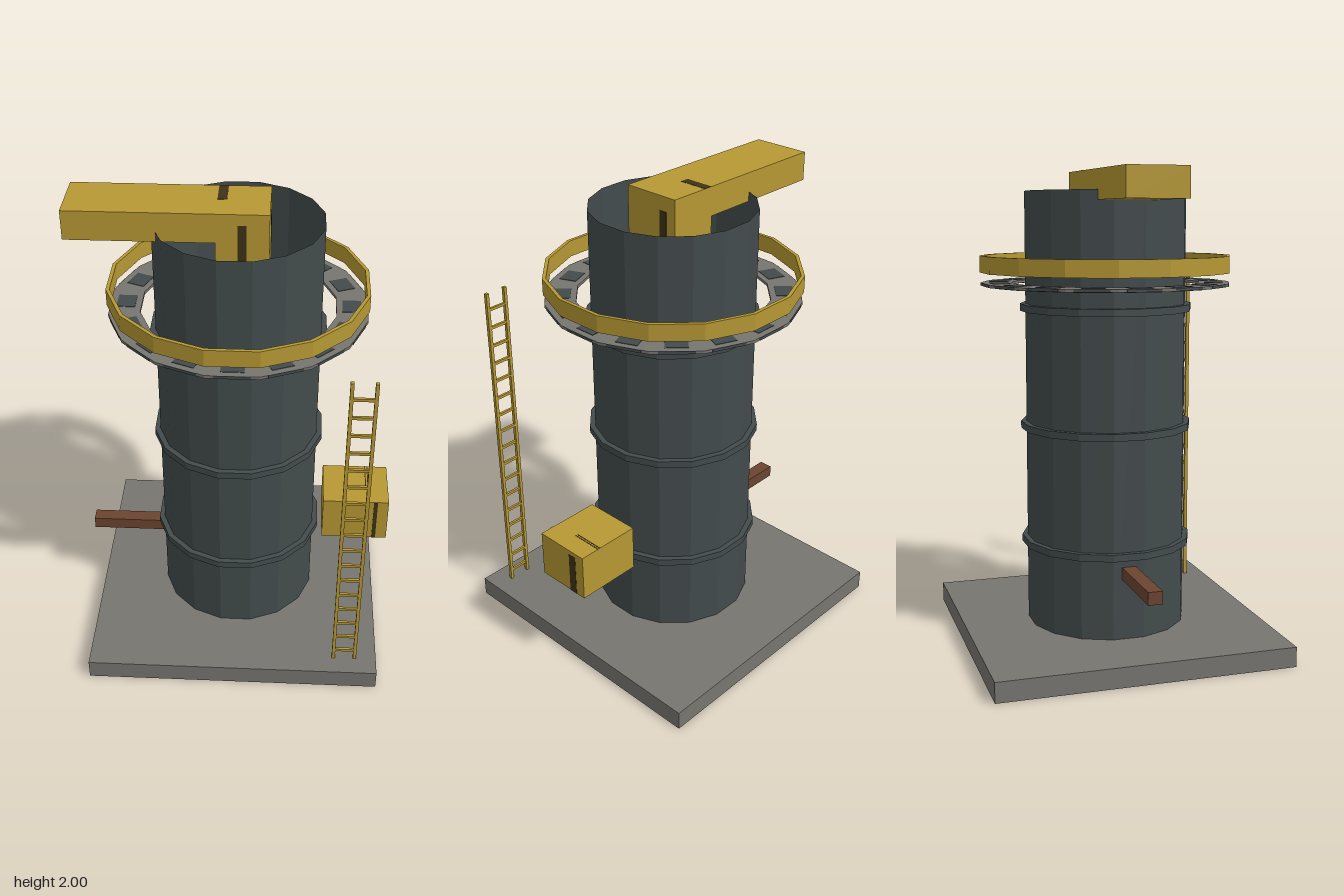
import * as THREE from 'three';

const SIDES = 16;
const APOTHEM = Math.cos(Math.PI / SIDES);

function material(name, color, options = {}) {
  const m = new THREE.MeshStandardMaterial({ color, flatShading: true, ...options });
  m.name = name;
  return m;
}

export function createModel() {
  const model = new THREE.Group();
  model.name = 'chimneyTower';
  const concrete = material('concreteGrey', 0x777570);
  const steel = material('darkSteel', 0x434b4c, { side: THREE.DoubleSide });
  const yellow = material('safetyYellow', 0xb69834);
  const rust = material('rustBrown', 0x6b4430);
  const mark = material('darkMarking', 0x3f3318);

  function add(name, geometry, mat, parent = model) {
    const mesh = new THREE.Mesh(geometry, mat);
    mesh.name = name;
    parent.add(mesh);
    return mesh;
  }

  // Box given by its lower and upper limits on each axis
  function box(name, [x0, x1], [y0, y1], [z0, z1], mat, parent) {
    const mesh = add(name, new THREE.BoxGeometry(x1 - x0, y1 - y0, z1 - z0), mat, parent);
    mesh.position.set((x0 + x1) / 2, (y0 + y1) / 2, (z0 + z1) / 2);
    return mesh;
  }

  // Sixteen-sided ring, sized across its flats
  function ring(name, inner, outer, y0, y1, mat) {
    const a = inner / APOTHEM, b = outer / APOTHEM;
    const profile = [[a, y0], [b, y0], [b, y1], [a, y1], [a, y0]];
    const points = profile.map(([x, y]) => new THREE.Vector2(x, y));
    return add(name, new THREE.LatheGeometry(points, SIDES, Math.PI / SIDES), mat);
  }

  // Base slab
  box('baseSlab', [-0.625, 0.625], [0, 0.085], [-0.625, 0.625], concrete);

  // Open stack and its stiffening bands
  const stack = add('stack', new THREE.CylinderGeometry(0.333 / APOTHEM, 0.333 / APOTHEM,
    1.835, SIDES, 1, true, Math.PI / SIDES), steel);
  stack.position.y = 0.085 + 1.835 / 2;
  for (const y of [0.44, 0.94, 1.44]) ring('stiffeningBand', 0.32, 0.356, y - 0.015, y + 0.015, steel);

  // Walkway with grating panels above and below
  ring('walkwayDeck', 0.39, 0.515, 1.531, 1.543, concrete);
  const grating = new THREE.Group();
  grating.name = 'walkwayGrating';
  model.add(grating);
  for (let i = 0; i < SIDES; i++) {
    const panel = new THREE.Group();
    panel.name = 'gratingPanel';
    panel.rotation.y = (i / SIDES) * Math.PI * 2;
    box('topGrate', [-0.045, 0.045], [1.543, 1.545], [0.415, 0.49], steel, panel);
    box('bottomGrate', [-0.075, 0.075], [1.529, 1.531], [0.4, 0.505], steel, panel);
    box('edgeGrate', [-0.07, 0.07], [1.531, 1.543], [0.514, 0.517], steel, panel);
    grating.add(panel);
  }

  // Guard rail around the walkway
  ring('guardRail', 0.503, 0.518, 1.585, 1.655, yellow);

  // Ladder
  const ladder = new THREE.Group();
  ladder.name = 'ladder';
  model.add(ladder);
  for (const x of [0.44, 0.532]) {
    box('ladderStile', [x - 0.007, x + 0.007], [0.085, 1.545], [0.53, 0.545], yellow, ladder);
  }
  for (let i = 0; i < 17; i++) {
    const y = 0.133 + i * 0.0836;
    box('ladderRung', [0.44, 0.532], [y - 0.006, y + 0.006], [0.532, 0.543], yellow, ladder);
  }

  // Top duct with its drop into the stack
  box('topDuct', [-0.665, 0.122], [1.88, 2], [-0.125, 0.125], yellow);
  box('topDuctDrop', [-0.085, 0.122], [1.7, 1.88], [-0.125, 0.125], yellow);
  box('topDuctMark', [-0.082, -0.045], [1.998, 2.001], [-0.125, 0], mark);
  box('topDuctFrontMark', [0, 0.035], [1.8, 1.955], [0.124, 0.127], mark);
  box('topDuctEndMark', [0.121, 0.124], [1.8, 1.94], [-0.08, -0.045], mark);

  // Side equipment box
  box('sideBox', [0.377, 0.665], [0.42, 0.625], [-0.125, 0.125], yellow);
  box('sideBoxFrontMark', [0.6, 0.617], [0.42, 0.625], [0.124, 0.127], mark);
  box('sideBoxEndMark', [0.664, 0.666], [0.42, 0.605], [-0.08, -0.042], mark);
  for (const x of [0.565, 0.575]) {
    box('sideBoxTopMark', [x, x + 0.004], [0.624, 0.626], [-0.125, 0.01], mark);
  }

  // Side beam
  box('sideBeam', [-0.665, -0.32], [0.34, 0.393], [-0.03, 0.03], rust);

  return model;
}
